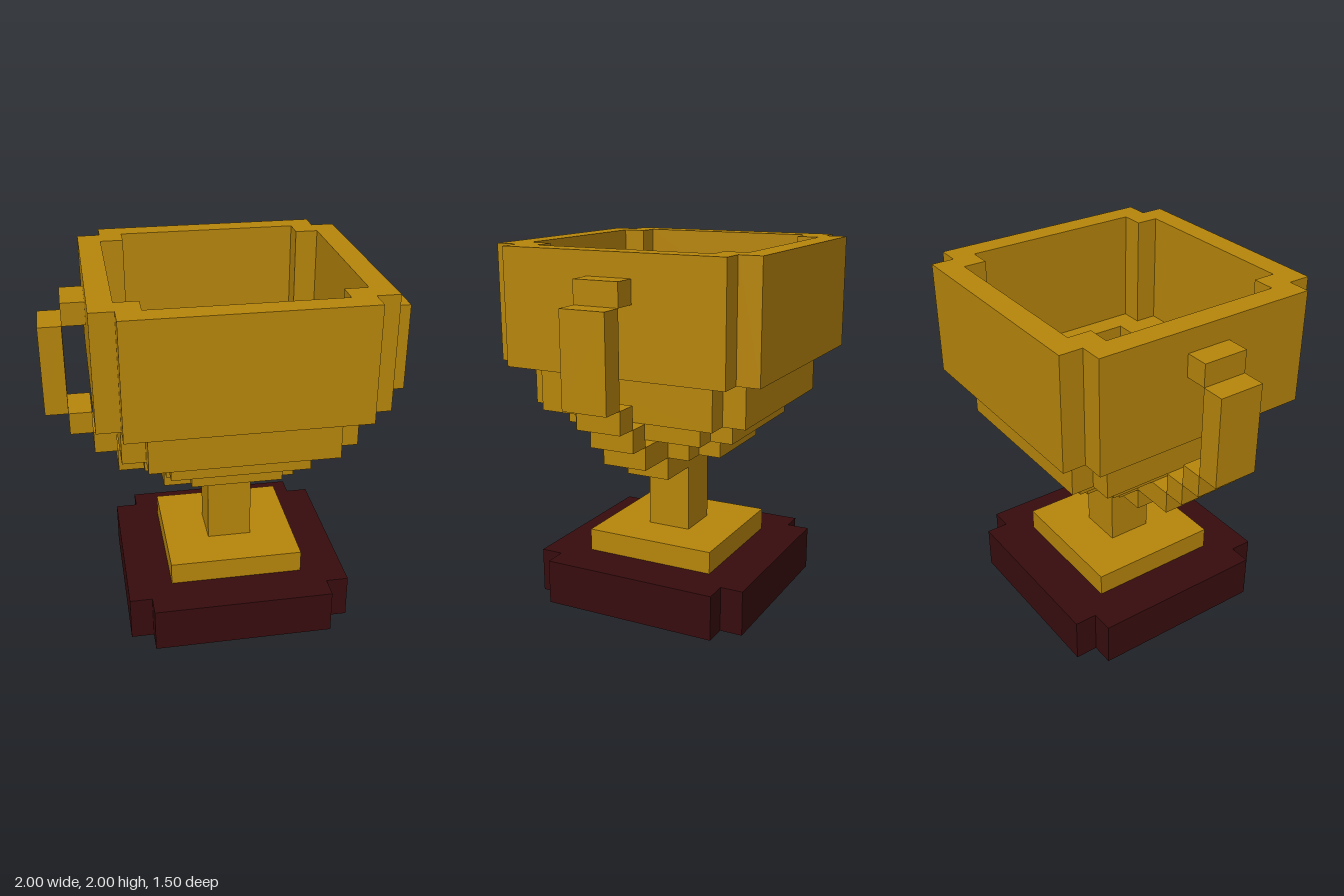
import * as THREE from 'three';

const U = 0.125; // one block

// Corners of a square of half-width h blocks with a one-block notch at each corner
function notched(h) {
  const a = h * U, b = (h - 1) * U;
  return [[a, -b], [a, b], [b, b], [b, a], [-b, a], [-b, b], [-a, b], [-a, -b],
    [-b, -b], [-b, -a], [b, -a], [b, -b]].map(([x, y]) => new THREE.Vector2(x, y));
}

export function createModel() {
  const gold = new THREE.MeshStandardMaterial({ color: 0xb8860b });
  gold.name = 'gold';
  const darkWood = new THREE.MeshStandardMaterial({ color: 0x380c0e });
  darkWood.name = 'dark wood';
  const model = new THREE.Group();
  model.name = 'trophyCup';

  function add(name, geometry, material, parent = model) {
    const mesh = new THREE.Mesh(geometry, material);
    mesh.name = name;
    parent.add(mesh);
    return mesh;
  }

  // Notched slab from y0 to y1 blocks, optionally hollowed by a notched hole
  function slab(name, half, y0, y1, material, hole = 0, parent = model) {
    const shape = new THREE.Shape(notched(half));
    if (hole) shape.holes.push(new THREE.Path(notched(hole)));
    const g = new THREE.ExtrudeGeometry(shape, { depth: (y1 - y0) * U, bevelEnabled: false });
    g.rotateX(-Math.PI / 2).translate(0, y0 * U, 0);
    return add(name, g, material, parent);
  }

  // Box given by block limits in x and y, and half depth in z
  function block(name, x0, x1, y0, y1, halfZ, parent = model) {
    const g = new THREE.BoxGeometry((x1 - x0) * U, (y1 - y0) * U, 2 * halfZ * U);
    g.translate((x0 + x1) / 2 * U, (y0 + y1) / 2 * U, 0);
    return add(name, g, gold, parent);
  }

  // Foot and stem
  slab('base', 5, 0, 2, darkWood);
  block('basePlate', -3, 3, 2, 3, 3);
  block('stem', -1, 1, 3, 7, 1);

  // Stepped hollow bowl, bottom to rim
  const bowl = new THREE.Group();
  bowl.name = 'bowl';
  model.add(bowl);
  [[3, 7, 8], [4, 8, 9], [5, 9, 11], [6, 11, 16]].forEach(([half, y0, y1], i) =>
    slab('bowlStep' + (i + 1), half, y0, y1, gold, half - 1, bowl));
  slab('bowlFloor', 2, 7, 7.06, gold, 0, bowl);

  // Handles, from the stem up to the rim
  const pieces = [[1, 3, 6, 7], [3, 5, 7, 8], [5, 6, 8, 9], [6, 7, 9, 10], [7, 8, 10, 14], [6, 7, 14, 15]];
  for (const [name, side] of [['leftHandle', 1], ['rightHandle', -1]]) {
    const handle = new THREE.Group();
    handle.name = name;
    model.add(handle);
    pieces.forEach(([x0, x1, y0, y1], i) =>
      block('handleBlock' + (i + 1), side > 0 ? x0 : -x1, side > 0 ? x1 : -x0, y0, y1, 1, handle));
  }
  return model;
}
